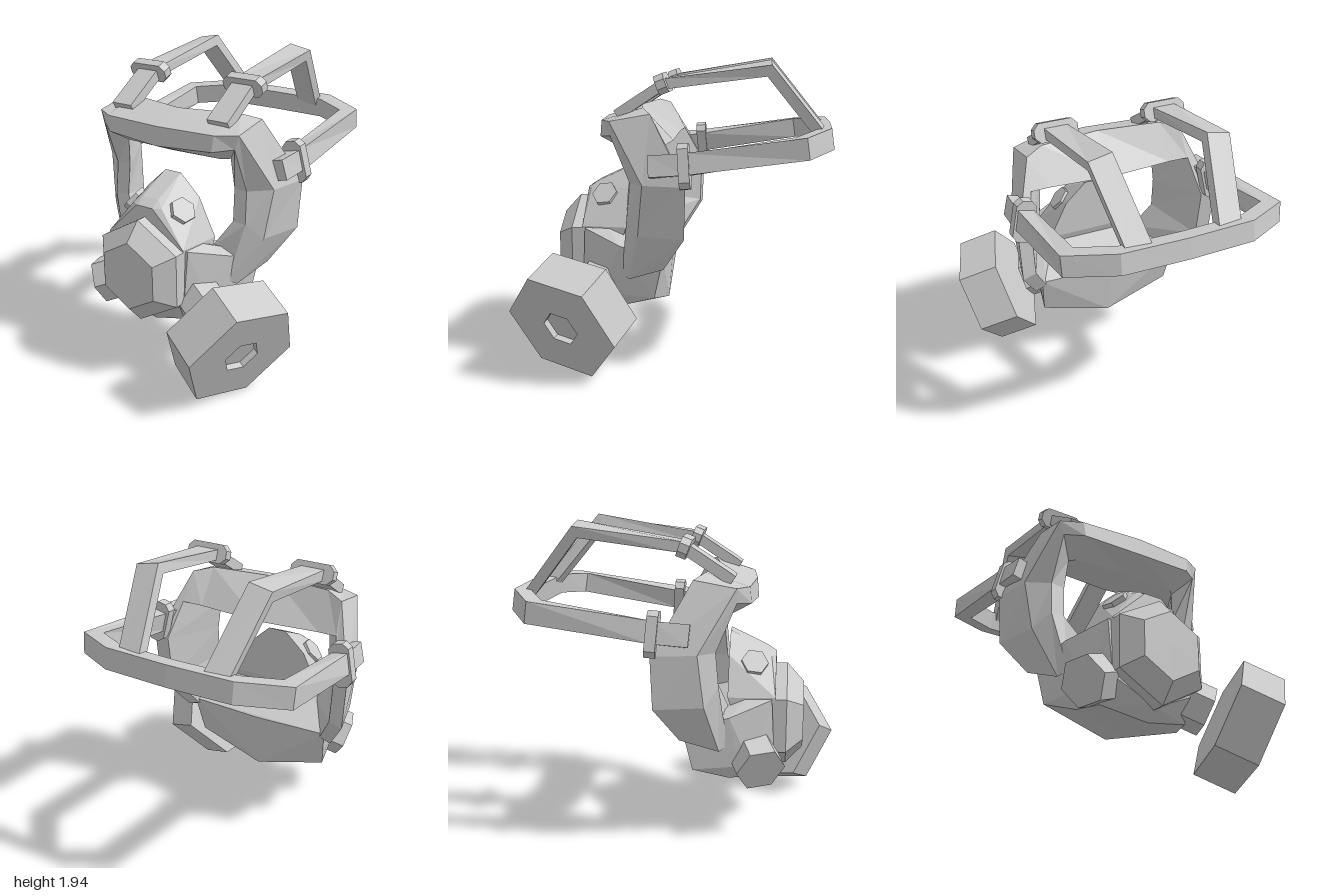
import * as THREE from 'three';
import { ConvexGeometry } from 'three/addons/geometries/ConvexGeometry.js';

const V = (x, y, z) => new THREE.Vector3(x, y, z);
const mat = new THREE.MeshStandardMaterial({ color: 0xcccccc, flatShading: true, side: THREE.DoubleSide });

function part(name, geo, parent) {
  const m = new THREE.Mesh(geo, mat);
  m.name = name;
  parent.add(m);
  return m;
}

// Joins equal-sized rings of points into a capped solid, facing outward
function loft(rings) {
  const tris = [], n = rings[0].length;
  for (let i = 0; i + 1 < rings.length; i++)
    for (let j = 0; j < n; j++) {
      const k = (j + 1) % n, a = rings[i], b = rings[i + 1];
      tris.push([a[j], a[k], b[k]], [a[j], b[k], b[j]]);
    }
  const last = rings[rings.length - 1];
  for (let j = 1; j + 1 < n; j++) {
    tris.push([rings[0][0], rings[0][j + 1], rings[0][j]], [last[0], last[j], last[j + 1]]);
  }
  let vol = 0;
  for (const [a, b, c] of tris) vol += a.dot(V(0, 0, 0).crossVectors(b, c));
  if (vol < 0) tris.forEach(t => t.reverse());
  const geo = new THREE.BufferGeometry().setFromPoints(tris.flat());
  geo.computeVertexNormals();
  return geo;
}

// Rectangular strap along a path; each stop has a point p and a width direction w
function strap(stops, width, thick) {
  return loft(stops.map(({ p, w }, i) => {
    const before = p.clone().sub(stops[Math.max(i - 1, 0)].p).normalize();
    const after = stops[Math.min(i + 1, stops.length - 1)].p.clone().sub(p).normalize();
    const t = before.clone().add(after).normalize();
    const miter = 1 / Math.max(before.dot(t), after.dot(t), 0.6);
    const side = w.clone().addScaledVector(t, -w.dot(t)).normalize();
    const n = V(0, 0, 0).crossVectors(t, side);
    return [[1, 1], [-1, 1], [-1, -1], [1, -1]].map(([a, b]) =>
      p.clone().addScaledVector(side, a * width / 2).addScaledVector(n, b * thick / 2 * miter));
  }));
}

// Places a geometry so its z axis follows n and its x axis leans to u
function aim(mesh, pos, n, u) {
  const z = n.clone().normalize();
  const x = u.clone().addScaledVector(z, -u.dot(z)).normalize();
  mesh.quaternion.setFromRotationMatrix(new THREE.Matrix4().makeBasis(x, V(0, 0, 0).crossVectors(z, x), z));
  mesh.position.copy(pos);
}

const hexPoints = r => Array.from({ length: 6 }, (_, i) =>
  new THREE.Vector2(r * Math.cos(i * Math.PI / 3), r * Math.sin(i * Math.PI / 3)));

// Hexagonal prism from z = -depth to 0, with an optional hexagonal hole
function hex(r, depth, hole) {
  const s = new THREE.Shape(hexPoints(r));
  if (hole) s.holes.push(new THREE.Path(hexPoints(hole)));
  return new THREE.ExtrudeGeometry(s, { depth, bevelEnabled: false }).translate(0, 0, -depth);
}

// Chamfered buckle block, w by h, with its depth along z
function buckle(w, h, d) {
  const x = w / 2, y = h / 2, c = 0.035;
  const s = new THREE.Shape([[x - c, -y], [x, -y + c], [x, y - c], [x - c, y], [c - x, y], [-x, y - c], [-x, c - y], [c - x, -y]]
    .map(q => new THREE.Vector2(...q)));
  return new THREE.ExtrudeGeometry(s, { depth: d, bevelEnabled: false }).translate(0, 0, -d / 2);
}

// Hull of points given for one half and mirrored to the other
const mirrorHull = pts => new ConvexGeometry(pts.flatMap(([x, y, z]) =>
  x ? [V(x, y, z), V(-x, y, z)] : [V(0, y, z)]));

export function createModel() {
  const root = new THREE.Group();
  root.name = 'respiratorMask';
  const mask = new THREE.Group();
  mask.name = 'mask';
  mask.position.x = -0.11;
  root.add(mask);

  // Visor frame: sections from the top centre down one side, each running
  // outer back, outer front, front rim, opening edge, inner back
  const half = [
    [[0, 1.635, 0.25], [0, 1.565, 0.47], [0, 1.445, 0.48], [0, 1.38, 0.32], [0, 1.4, 0.04]],
    [[0.41, 1.645, 0.18], [0.4, 1.565, 0.44], [0.39, 1.465, 0.45], [0.36, 1.38, 0.3], [0.42, 1.42, 0.04]],
    [[0.53, 1.615, 0.12], [0.53, 1.57, 0.37], [0.5, 1.48, 0.37], [0.4, 1.38, 0.26], [0.55, 1.43, 0.02]],
    [[0.69, 1.2, -0.11], [0.645, 1.2, 0.155], [0.51, 1.19, 0.25], [0.415, 1.19, 0.24], [0.6, 1.2, -0.1]],
    [[0.67, 0.88, -0.1], [0.6, 0.88, 0.19], [0.515, 0.98, 0.27], [0.42, 0.98, 0.26], [0.58, 0.9, -0.09]],
    [[0.54, 0.66, 0.04], [0.46, 0.57, 0.27], [0.42, 0.6, 0.32], [0.3, 0.8, 0.32], [0.46, 0.68, 0.05]],
  ];
  const ring = (sec, s) => sec.map(([x, y, z]) => V(s * x, y, z));
  part('visorFrame', loft([...half.slice(1).reverse().map(c => ring(c, -1)), ...half.map(c => ring(c, 1))]), mask);

  // Nose cover and chin cup
  part('noseCover', mirrorHull([
    [0.06, 1.24, 0.31], [0.06, 1.13, 0.54], [0.2, 1.11, 0.31], [0.32, 0.87, 0.31],
    [0.11, 1.09, 0.57], [0.06, 1.09, 0.6], [0.29, 0.87, 0.6], [0.3, 0.6, 0.4], [0.28, 0.6, 0.6],
  ]), mask);
  part('chinCup', mirrorHull([
    [0.45, 0.78, 0.33], [0.31, 0.86, 0.42], [0.31, 0.86, 0.58], [0.42, 0.58, 0.36], [0.38, 0.46, 0.46], [0.3, 0.36, 0.48],
    [0, 0.28, 0.28], [0, 0.3, 0.52], [0.29, 0.5, 0.6], [0, 0.37, 0.6],
    [0.49, 0.71, 0.05], [0.46, 0.45, 0.11], [0.36, 0.37, 0.32], [0, 0.33, 0.07], [0, 0.7, 0.04],
  ]), mask);

  // Front valve: hexagonal rim with a tapered cover
  const valve = new THREE.Group();
  valve.name = 'frontValve';
  valve.position.set(0, 0.69, 0);
  mask.add(valve);
  for (const [name, r1, r2, z1, z2] of [['valveRim', 0.335, 0.335, 0.55, 0.67], ['valveCover', 0.22, 0.335, 0.67, 0.775]])
    part(name, new THREE.CylinderGeometry(r1, r2, z2 - z1, 6).rotateX(Math.PI / 2).translate(0, 0, (z1 + z2) / 2), valve);

  for (const s of [1, -1]) {
    const side = s > 0 ? 'left' : 'right';
    // Cheek buttons and filter ports
    aim(part(side + 'NoseButton', hex(0.085, 0.1), mask), V(s * 0.2, 1.075, 0.47), V(s * 0.72, 0.65, 0.2), V(0, 0, 1));
    aim(part(side + 'FilterPort', hex(0.155, 0.2), mask), V(s * 0.44, 0.455, 0.525), V(s * 0.86, -0.38, 0.35), V(s * 0.137, -0.03, -0.334));

    // Top strap, rolled outward at its peak, with its buckle
    const X = V(1, 0, 0), rolled = V(1, -0.18 * s, 0);
    part(side + 'TopStrap', strap([
      { p: V(s * 0.365, 1.6, 0.34), w: X }, { p: V(s * 0.365, 1.79, 0.05), w: X },
      { p: V(s * 0.36, 1.885, -0.585), w: rolled }, { p: V(s * 0.28, 1.49, -0.905), w: rolled },
    ], 0.15, 0.065), mask);
    aim(part(side + 'TopBuckle', buckle(0.28, 0.12, 0.06), mask), V(s * 0.365, 1.79, 0.06), V(0, 0.35, -0.9), X);

    // Side buckle
    aim(part(side + 'SideBuckle', buckle(0.13, 0.27, 0.065), mask), V(s * 0.65, 1.32, -0.1), V(0, 0.08, -1), V(1, 0.22 * s, 0));
  }

  // Head band running from one side, round the back, to the other; each stop is x, y, z and the lean of its width
  const band = [[0, 1.46, -0.937, 0, 0.15], [0.4, 1.46, -0.925, 0, 0.15], [0.645, 1.435, -0.79, 0, 0.1],
    [0.65, 1.33, -0.1, -0.2, 0], [0.64, 1.31, 0.11, -0.25, 0]];
  const stop = s => ([x, y, z, lx, lz]) => ({ p: V(s * x, y, z), w: V(s * lx, 1, lz) });
  part('headBand', strap([...band.slice(1).reverse().map(stop(-1)), ...band.map(stop(1))], 0.13, 0.1), mask);

  // Filter canister with a recessed hexagonal inlet
  const can = new THREE.Group();
  can.name = 'filterCanister';
  aim(can, V(0.637, 0.326, 0.646), V(0.86, -0.39, 0.36), V(0.12, -0.06, -0.335));
  part('canisterBody', hex(0.38, 0.235).translate(0, 0, -0.04), can);
  part('canisterFace', hex(0.38, 0.04, 0.12), can);
  root.add(can);
  return root;
}
